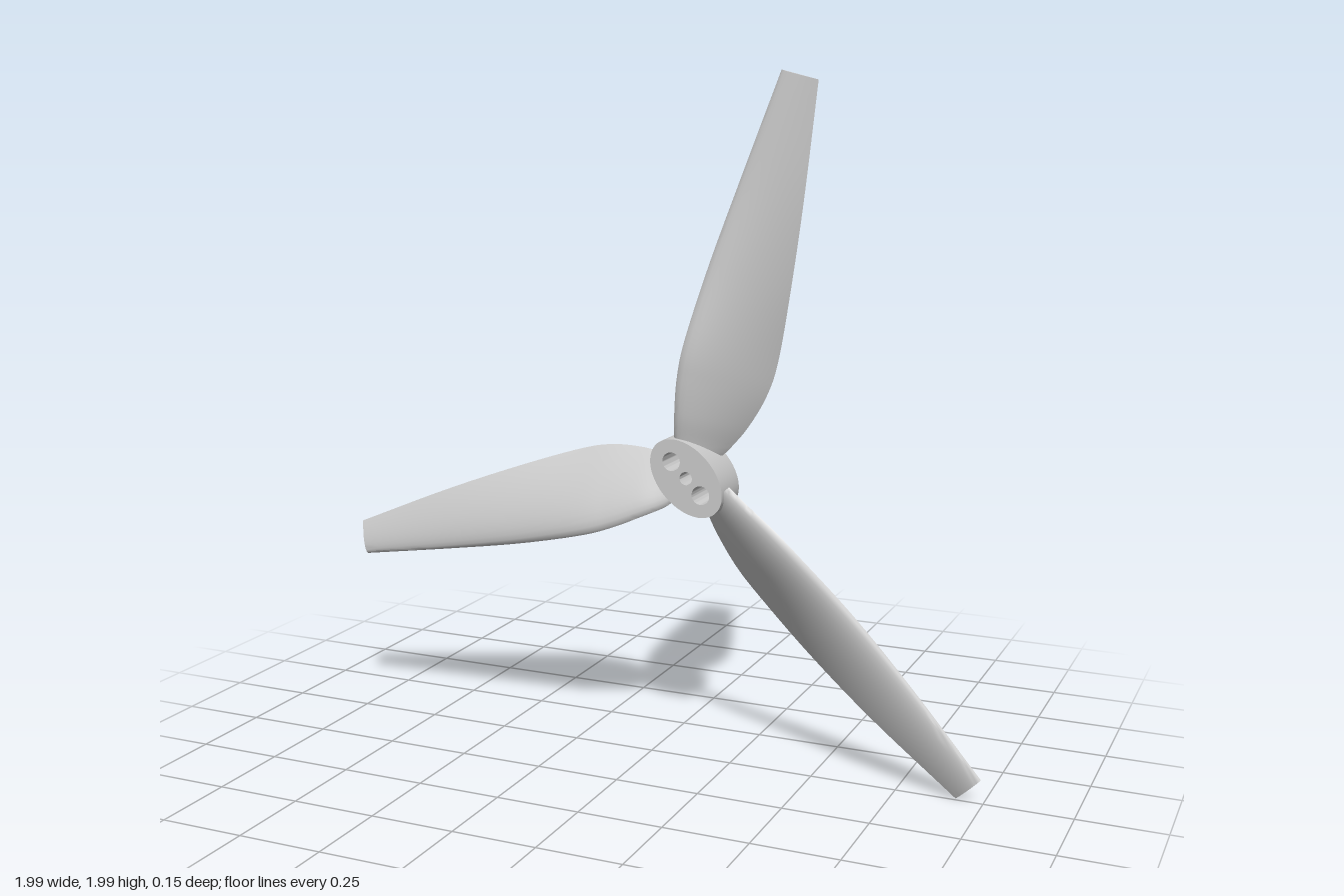
import * as THREE from 'three';
import { toCreasedNormals } from 'three/addons/utils/BufferGeometryUtils.js';

const material = new THREE.MeshStandardMaterial({ color: 0xcccccc });

// Blade stations: radius, leading edge, trailing edge, half twist depth, thickness
const STATIONS = [
  [0.07, 0.062, -0.055, 0.036, 0.024],
  [0.10, 0.074, -0.071, 0.045, 0.026],
  [0.17, 0.086, -0.100, 0.060, 0.030],
  [0.27, 0.101, -0.125, 0.070, 0.033],
  [0.38, 0.107, -0.131, 0.069, 0.034],
  [0.60, 0.102, -0.118, 0.043, 0.030],
  [0.85, 0.083, -0.093, 0.022, 0.022],
  [1.162, 0.0525, -0.050, 0.009, 0.013],
];

// Twisted airfoil lofted along +x, leading edge towards +y and +z
function bladeGeometry(stations) {
  const curve = (a, b) => new THREE.CatmullRomCurve3(
    stations.map((s) => new THREE.Vector3(s[0], s[a], s[b])), false, 'catmullrom', 0.5);
  const edges = curve(1, 2);
  const depths = curve(3, 4);
  const rows = 48, half = 14, ring = half * 2;
  const positions = [], index = [];

  for (let i = 0; i <= rows; i++) {
    const e = edges.getPoint(i / rows);
    const d = depths.getPoint(i / rows);
    const lead = e.y, dy = e.z - e.y, dz = -2 * d.y;
    const chord = Math.hypot(dy, dz);
    for (let j = 0; j < ring; j++) {
      // Over the convex front to the trailing edge, then back along the flat rear
      const front = j <= half;
      const a = (front ? j : ring - j) / half;
      const s = (1 - Math.cos(Math.PI * a)) / 2;
      const bulge = 2.6 * Math.sqrt(s) * (1 - s) * d.z * (front ? 0.9 : -0.12);
      positions.push(e.x, lead + dy * s + (dz / chord) * bulge, d.y + dz * s - (dy / chord) * bulge);
    }
  }
  for (let i = 0; i < rows; i++) {
    for (let j = 0; j < ring; j++) {
      const k = (j + 1) % ring;
      const a = i * ring + j, b = i * ring + k;
      index.push(a, b + ring, a + ring, a, b, b + ring);
    }
  }
  // Root and tip caps
  const tip = rows * ring;
  for (let j = 1; j < ring - 1; j++) {
    index.push(0, j + 1, j, tip, tip + j, tip + j + 1);
  }
  const geometry = new THREE.BufferGeometry();
  geometry.setAttribute('position', new THREE.Float32BufferAttribute(positions, 3));
  geometry.setIndex(index);
  return toCreasedNormals(geometry, 0.7);
}

// Elliptical hub with a shaft hole and two larger screw holes
function hubGeometry() {
  const shape = new THREE.Shape().absellipse(0, 0, 0.13, 0.086, 0, Math.PI * 2);
  for (const [x, r] of [[-0.064, 0.027], [0, 0.019], [0.064, 0.027]]) {
    shape.holes.push(new THREE.Path().absarc(x, 0, r, 0, Math.PI * 2, true));
  }
  const geometry = new THREE.ExtrudeGeometry(shape, { depth: 0.134, bevelEnabled: false, curveSegments: 40 });
  geometry.translate(0, 0, -0.066);
  return toCreasedNormals(geometry, 0.7);
}

export function createModel() {
  const model = new THREE.Group();
  model.name = 'propeller';
  const rotor = new THREE.Group();
  rotor.name = 'rotor';
  rotor.position.set(0.135, 0.865, 0);
  model.add(rotor);

  const hub = new THREE.Mesh(hubGeometry(), material);
  hub.name = 'hub';
  hub.rotation.z = THREE.MathUtils.degToRad(135);
  rotor.add(hub);

  // The blade on the hub's long axis starts further out, clear of the screw hole
  const full = bladeGeometry(STATIONS);
  const short = bladeGeometry(STATIONS.slice(1));
  [['upperBlade', 75, full], ['rightBlade', 195, full], ['lowerLeftBlade', 315, short]].forEach(([name, angle, geometry]) => {
    const blade = new THREE.Mesh(geometry, material);
    blade.name = name;
    blade.rotation.z = THREE.MathUtils.degToRad(angle);
    rotor.add(blade);
  });
  return model;
}
